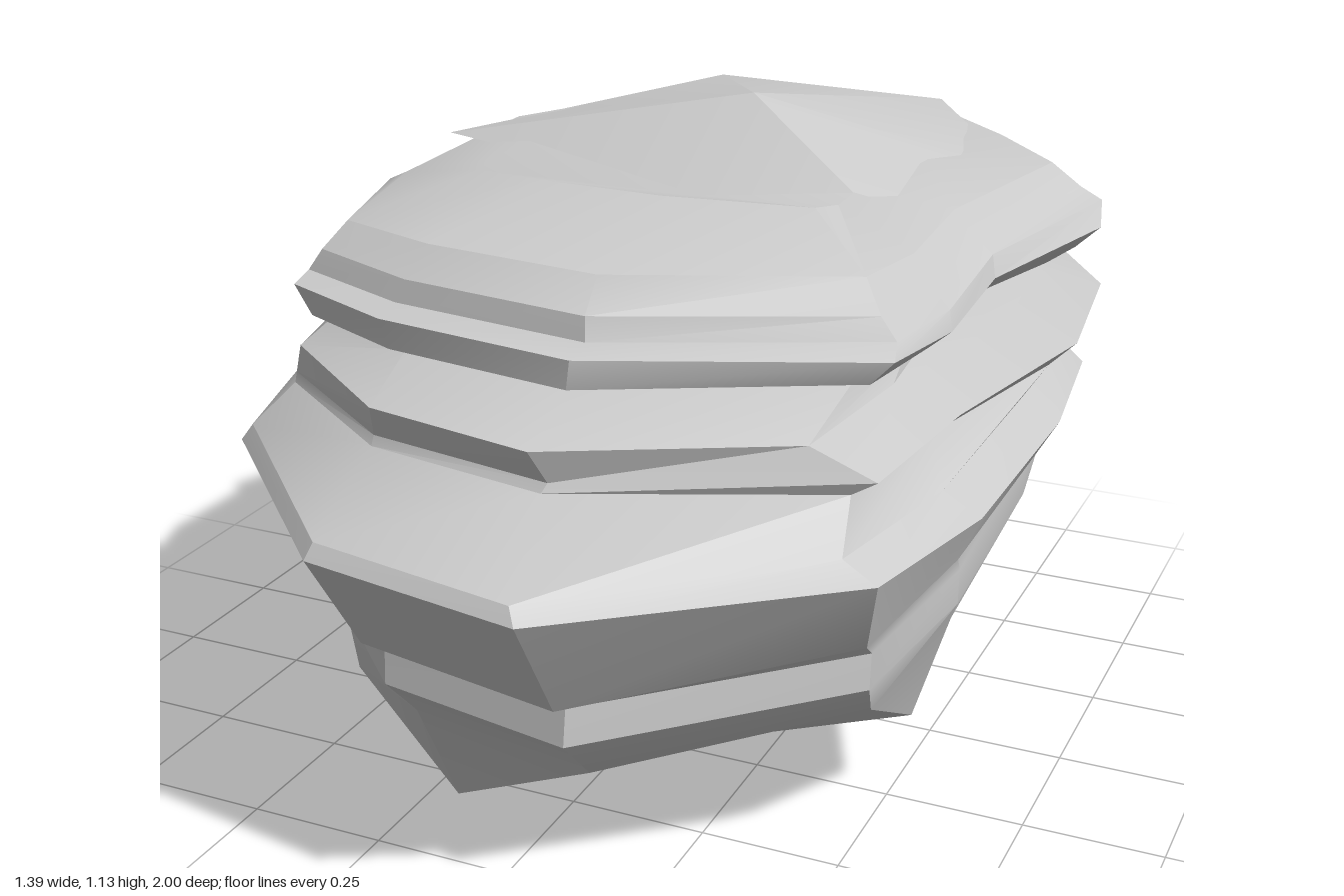
import * as THREE from 'three';
import { toCreasedNormals } from 'three/addons/utils/BufferGeometryUtils.js';

// Plan outlines of the strata, counter-clockwise from the front, as shares of each side's reach
const capOutline = [
  [0.17, 1], [1, 0.63], [1.04, 0.28], [1, -0.17], [1.2, -0.58], [0.9, -0.75], [0.36, -1],
  [-0.1, -0.93], [-0.46, -0.97], [-0.97, -0.47], [-1, 0.1], [-0.82, 0.78], [-0.46, 0.92],
];
const ledgeOutline = [
  [0.14, 1], [0.82, 0.74], [0.87, 0.33], [1, -0.17], [0.93, -0.55], [0.75, -0.75], [0.3, -1],
  [-0.2, -0.93], [-0.5, -0.86], [-0.93, -0.45], [-1, 0.15], [-0.84, 0.66], [-0.4, 0.92],
];
const baseOutline = [
  [0.25, 1], [0.9, 0.65], [1, 0.33], [1, -0.17], [0.93, -0.55], [0.75, -0.75], [0.3, -1],
  [-0.2, -0.93], [-0.5, -0.85], [-0.9, -0.45], [-1, 0.22], [-0.86, 0.57], [-0.34, 0.93],
];

// One cross-section: reach to front, back, left, right, then its height on each of those sides
function section(outline, [front, back, left, right, yF, yB, yL, yR]) {
  return outline.map(([u, v]) => {
    const side = THREE.MathUtils.lerp(yR, yL, (u + 1) / 2);
    const x = u * (u > 0 ? left : right);
    const z = v > 0 ? v * front : v * back;
    return [x, THREE.MathUtils.lerp(side, v > 0 ? yF : yB, Math.abs(v)), z];
  });
}

function meshFrom(name, triangles) {
  const geometry = new THREE.BufferGeometry();
  geometry.setAttribute('position', new THREE.Float32BufferAttribute(triangles.flat(), 3));
  const material = new THREE.MeshStandardMaterial({ color: 0xcccccc, side: THREE.DoubleSide });
  const mesh = new THREE.Mesh(toCreasedNormals(geometry, 0.42), material);
  mesh.name = name;
  return mesh;
}

// Triangles from a hub to a loop of points
function fan(hub, loop, flip = false) {
  return loop.flatMap((p, i) => {
    const q = loop[(i + 1) % loop.length];
    return flip ? [hub, q, p] : [hub, p, q];
  });
}

function loft(rings) {
  const triangles = [];
  for (let r = 0; r < rings.length - 1; r++) {
    const top = rings[r], low = rings[r + 1];
    top.forEach((a, i) => {
      const j = (i + 1) % top.length;
      triangles.push(low[i], low[j], top[j], low[i], top[j], a);
    });
  }
  return triangles;
}

export function createModel() {
  const group = new THREE.Group();
  group.name = 'layeredRock';

  // Cap strata, swelling at the left rear
  const cap = [
    [0.23, 0.5, 0.3, 0.4, 1.05, 1.03, 1.01, 1.01],
    [0.53, 0.78, 0.46, 0.56, 1.0, 1.02, 0.97, 0.98],
    [0.59, 0.85, 0.5, 0.59, 0.95, 0.97, 0.92, 0.97],
    [0.6, 0.9, 0.53, 0.62, 0.91, 0.94, 0.89, 0.94],
    [0.66, 0.82, 0.54, 0.62, 0.9, 0.9, 0.85, 0.92],
    [0.66, 0.83, 0.5, 0.58, 0.85, 0.84, 0.82, 0.86],
    [0.62, 0.79, 0.46, 0.56, 0.84, 0.8, 0.8, 0.83],
  ].map((s) => section(capOutline, s));

  // Middle ledges
  const ledges = [
    [0.78, 0.85, 0.56, 0.6, 0.79, 0.78, 0.78, 0.8],
    [0.75, 0.98, 0.69, 0.63, 0.73, 0.74, 0.75, 0.74],
    [0.76, 1, 0.64, 0.63, 0.715, 0.69, 0.7, 0.72],
  ].map((s) => section(ledgeOutline, s));

  // Broad shelf and the undercut beneath it
  const shelf = [
    [0.98, 0.87, 0.6, 0.68, 0.635, 0.62, 0.64, 0.67],
    [1, 0.93, 0.67, 0.7, 0.61, 0.58, 0.6, 0.64],
    [0.86, 0.85, 0.62, 0.67, 0.4, 0.51, 0.55, 0.53],
    [0.82, 0.78, 0.62, 0.61, 0.385, 0.46, 0.52, 0.43],
    [0.83, 0.72, 0.62, 0.6, 0.32, 0.455, 0.46, 0.37],
    [0.73, 0.68, 0.6, 0.6, 0.22, 0.455, 0.44, 0.32],
  ].map((s) => section(baseOutline, s));

  // Uneven foot: low keel in front, lobe on the right, rising towards the left rear
  const foot = [
    [0.18, 0.12, 0.42], [0.54, 0.17, 0.25], [0.56, 0.33, 0.05], [0.55, 0.48, -0.18],
    [0.42, 0.46, -0.35], [0.3, 0.45, -0.4], [0.1, 0.42, -0.25], [-0.1, 0.4, -0.22],
    [-0.25, 0.36, -0.2], [-0.36, 0.27, -0.1], [-0.54, 0.29, 0.06], [-0.46, 0.15, 0.46], [-0.2, 0, 0.56],
  ];

  const rings = [...cap, ...ledges, ...shelf, foot];
  group.add(meshFrom('rockStrata', [
    ...fan([0.04, 1.0, 0.04], cap[0]),
    ...loft(rings),
    ...fan([0, 0.22, 0.09], foot, true),
  ]));

  // Raised slab on the rear of the top, with a steep front step
  group.add(meshFrom('topSlab', fan([0.04, 1.135, -0.21], [
    [-0.59, 1.005, -0.17], [0.04, 1.0, 0.04], [0.36, 0.99, 0], [0.5, 0.98, -0.42],
    [0.24, 1.03, -0.74], [-0.26, 1.03, -0.77], [-0.51, 0.995, -0.45],
  ])));
  return group;
}
